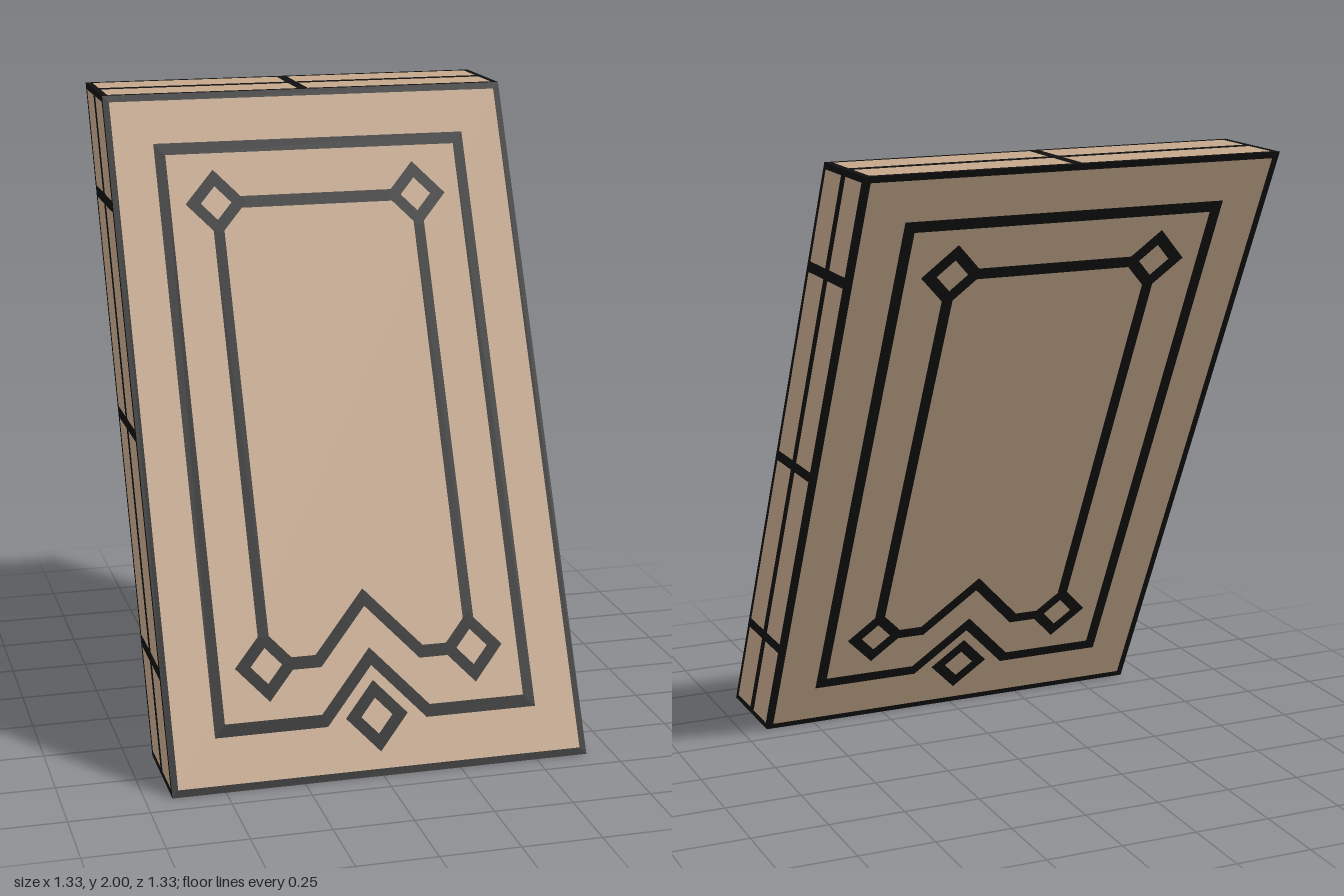
import * as THREE from 'three';

const HX = 0.667, HY = 1, HZ = 0.167; // half sizes before the slab is leaned back
const LIFT = 0.002;                   // thickness of painted linework
const LINE = 0.035, EDGE = 0.02;

// Leans a geometry back and stands it on the ground
const lean = new THREE.Matrix4().set(1, 0, 0, 0, 0, 1, 0, 1, 0, -0.5, 1, 0, 0, 0, 0, 1);

const V = (x, y) => new THREE.Vector2(x, y);

// Moves a polyline sideways by d with mitred corners
function offset(pts, d, closed) {
  const n = pts.length;
  const normal = (a, b) => { const t = b.clone().sub(a).normalize(); return V(-t.y, t.x); };
  return pts.map((p, i) => {
    const prev = closed || i > 0 ? pts[(i + n - 1) % n] : null;
    const next = closed || i < n - 1 ? pts[(i + 1) % n] : null;
    const n1 = prev ? normal(prev, p) : normal(p, next);
    const n2 = next ? normal(p, next) : n1;
    return p.clone().addScaledVector(n1.clone().add(n2), d / (1 + n1.dot(n2)));
  });
}

// A line of constant width along a polyline
function stroke(pts, closed = false) {
  const a = offset(pts, LINE / 2, closed), b = offset(pts, -LINE / 2, closed);
  if (!closed) return new THREE.Shape([...a, ...b.reverse()]);
  const [outer, inner] = THREE.ShapeUtils.isClockWise(pts) ? [a, b] : [b, a];
  const shape = new THREE.Shape(outer);
  shape.holes.push(new THREE.Path(inner));
  return shape;
}

// A bordered rectangle divided by bars at the given positions
function grid(hw, hh, xs, ys) {
  const spans = (h, bars) => {
    const cuts = [-h + EDGE, ...bars.flatMap(b => [b - LINE / 2, b + LINE / 2]), h - EDGE];
    return Array.from({ length: bars.length + 1 }, (_, i) => [cuts[2 * i], cuts[2 * i + 1]]);
  };
  const rect = (x0, x1, y0, y1) => [V(x0, y0), V(x1, y0), V(x1, y1), V(x0, y1)];
  const shape = new THREE.Shape(rect(-hw, hw, -hh, hh));
  for (const [x0, x1] of spans(hw, xs))
    for (const [y0, y1] of spans(hh, ys)) shape.holes.push(new THREE.Path(rect(x0, x1, y0, y1)));
  return shape;
}

const diamond = (x, y, r = 0.075) => stroke([V(x + r, y), V(x, y + r), V(x - r, y), V(x, y - r)], true);

// Border, notched outer frame, inner lines and diamonds of a large face
function facePattern() {
  const t = 1 / 3, s = 1 / 6, gap = 0.08;
  const lo = -1 + t, hi = 1 - t;
  const shapes = [
    grid(HX, HY, [], []),
    stroke([V(-0.5, -1 + s), V(-s, -1 + s), V(0, -1 + 2 * s), V(s, -1 + s),
      V(0.5, -1 + s), V(0.5, 1 - s), V(-0.5, 1 - s)], true),
    stroke([V(-t + gap, lo), V(-s, lo), V(0, lo + s), V(s, lo), V(t - gap, lo)]),
    stroke([V(-t + gap, hi), V(t - gap, hi)]),
    diamond(0, -1 + s),
  ];
  for (const x of [-t, t]) {
    shapes.push(stroke([V(x, lo + gap), V(x, hi - gap)]), diamond(x, lo), diamond(x, hi));
  }
  return shapes;
}

export function createModel() {
  const stone = new THREE.MeshStandardMaterial({ color: 0xc4a78c });
  stone.name = 'tanStone';
  const ink = new THREE.MeshStandardMaterial({ color: 0x111111 });
  ink.name = 'blackLine';
  const group = new THREE.Group();
  group.name = 'leaningSlab';

  const add = (name, geometry, material) => {
    const mesh = new THREE.Mesh(geometry.applyMatrix4(lean), material);
    mesh.name = name;
    group.add(mesh);
  };

  // Slab
  add('slabBody', new THREE.BoxGeometry(2 * (HX - LIFT), 2 * (HY - LIFT), 2 * (HZ - LIFT)), stone);

  // Painted linework on all six sides
  const panel = (name, shapes, dist, rx, ry) => {
    const g = new THREE.ShapeGeometry(shapes).translate(0, 0, dist);
    add(name, g.rotateX(rx).rotateY(ry), ink);
  };
  const side = grid(HZ, HY, [0], [-2 / 3, 0, 2 / 3]);
  const cap = grid(HX, HZ, [0], [0]);
  const q = Math.PI / 2;
  panel('frontPattern', facePattern(), HZ, 0, 0);
  panel('backPattern', facePattern(), HZ, 0, Math.PI);
  panel('leftSideLines', side, HX, 0, q);
  panel('rightSideLines', side, HX, 0, -q);
  panel('topLines', cap, HY, -q, 0);
  panel('bottomLines', cap, HY, q, 0);
  return group;
}
